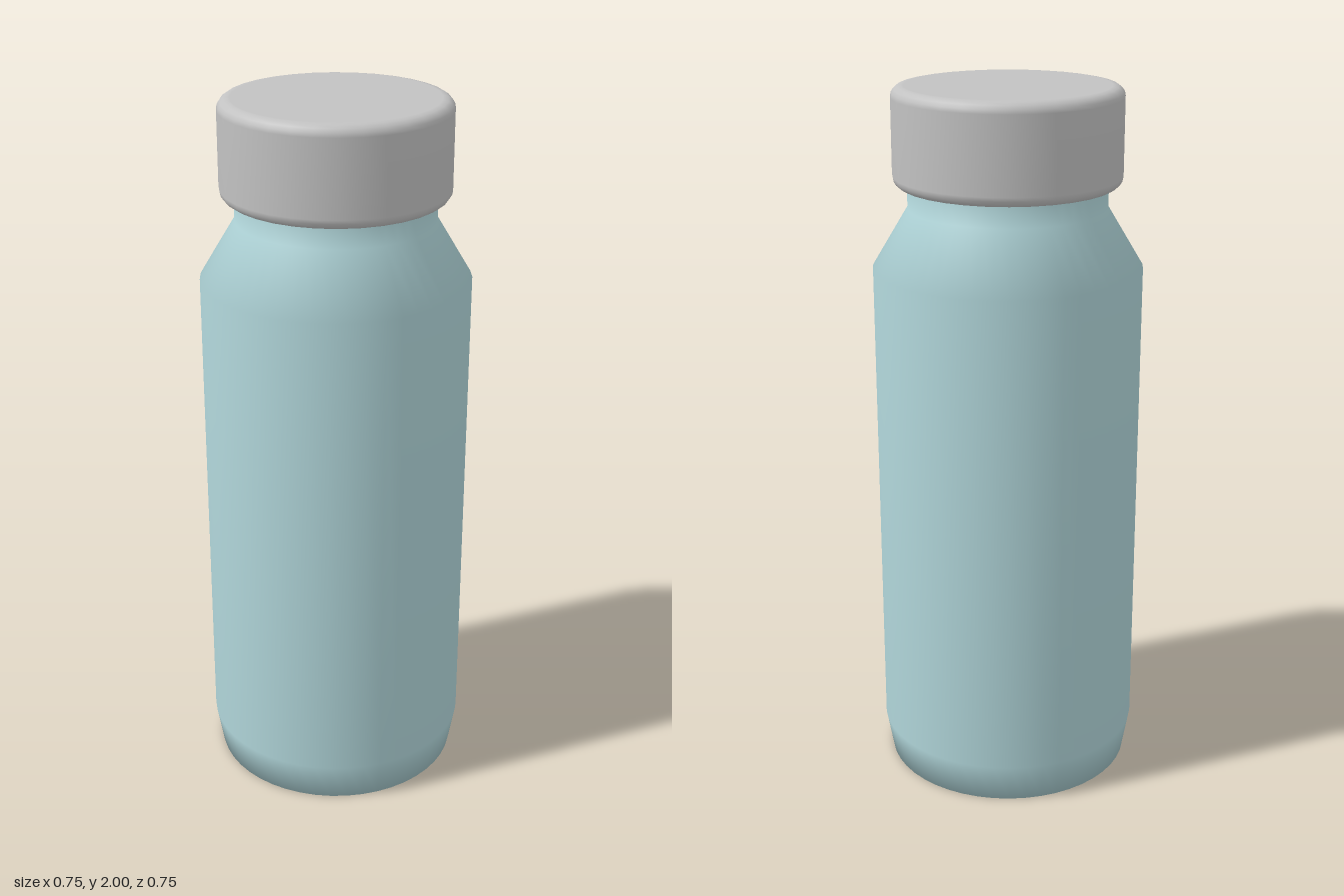
import * as THREE from 'three';

// Revolves a list of [radius, height] pairs, ordered from bottom to top
function turned(name, profile, segments, material) {
  const points = profile.map(([r, y]) => new THREE.Vector2(r, y));
  const mesh = new THREE.Mesh(new THREE.LatheGeometry(points, segments), material);
  mesh.name = name;
  return mesh;
}

// Quarter-round edge points around a centre, from angle a0 to a1
function roundedEdge(cx, cy, radius, a0, a1, steps = 4) {
  return Array.from({ length: steps + 1 }, (_, i) => {
    const a = a0 + ((a1 - a0) * i) / steps;
    return [cx + radius * Math.cos(a), cy + radius * Math.sin(a)];
  });
}

export function createModel() {
  const bottleBlue = new THREE.MeshStandardMaterial({ color: 0xb0d5d9 });
  bottleBlue.name = 'pale blue';
  const capGrey = new THREE.MeshStandardMaterial({ color: 0xc2c2c2 });
  capGrey.name = 'light grey';

  const model = new THREE.Group();
  model.name = 'bottle';

  // Body: tapered foot, straight wall, sloped shoulder and neck
  model.add(turned('body', [
    [0, 0], [0.355, 0], [0.375, 0.115], [0.375, 1.505],
    [0.276, 1.67], [0.276, 1.76],
  ], 48, bottleBlue));

  // Cap: short cylinder with rounded rims and flat ends
  const rim = 0.03, radius = 0.316, bottom = 1.73, top = 2;
  model.add(turned('cap', [
    [0, bottom], [radius - rim - 0.005, bottom],
    ...roundedEdge(radius - rim, bottom + rim, rim, -Math.PI / 2, 0),
    ...roundedEdge(radius - rim, top - rim, rim, 0, Math.PI / 2),
    [radius - rim - 0.005, top], [0, top],
  ], 32, capGrey));

  return model;
}
